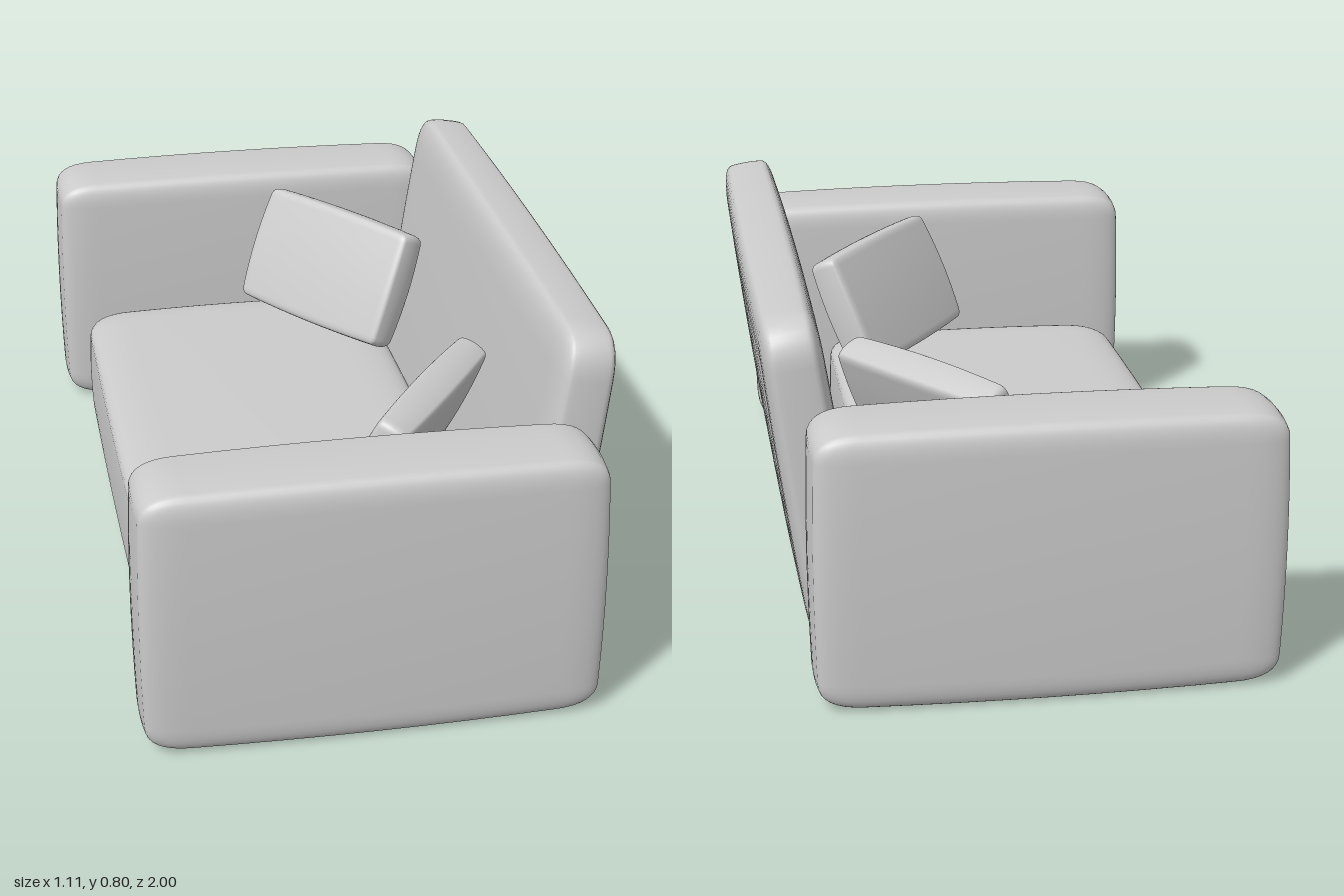
import * as THREE from 'three';
import { mergeVertices } from 'three/addons/utils/BufferGeometryUtils.js';

const material = new THREE.MeshStandardMaterial({ color: 0xcccccc, side: THREE.DoubleSide });
const SEGMENTS = 16;

// Upholstered block: rounded box with its own corner radius on each axis, softly
// bulging sides and, if open, a rectangular opening in the underside.
function softBlock(name, size, radius, bulge, open = false) {
  const box = new THREE.BoxGeometry(2, 2, 2, SEGMENTS, SEGMENTS, SEGMENTS);
  box.deleteAttribute('uv');
  box.deleteAttribute('normal');
  const geometry = mergeVertices(box, 1e-4);
  const pos = geometry.attributes.position;

  if (open) {
    const inHole = (i) => pos.getY(i) < -0.999
      && Math.abs(pos.getX(i)) < 0.51 && Math.abs(pos.getZ(i)) < 0.51;
    const kept = [];
    const index = geometry.index.array;
    for (let i = 0; i < index.length; i += 3) {
      const face = [index[i], index[i + 1], index[i + 2]];
      if (!face.every(inHole)) kept.push(...face);
    }
    geometry.setIndex(kept);
  }

  const half = size.map((s) => s / 2);
  for (let i = 0; i < pos.count; i++) {
    const t = [pos.getX(i), pos.getY(i), pos.getZ(i)];
    // inner half of the grid is flat, outer quarters wrap the corners
    const flat = t.map((v, a) => THREE.MathUtils.clamp(v * 2, -1, 1) * (half[a] - radius[a]));
    const over = t.map((v) => Math.sign(v) * Math.max(0, Math.abs(v) * 2 - 1));
    const norm = Math.pow(over.reduce((sum, v) => sum + Math.abs(v) ** 2.5, 0), 1 / 2.5);
    const longest = Math.max(...over.map(Math.abs));
    const k = norm > 0 ? longest / norm : 0;
    const p = flat.map((v, a) => v + over[a] * k * radius[a]);
    // sides curve inwards away from their middle
    const u = p.map((v, a) => v / half[a]);
    const q = p.map((v, a) => {
      const b = u[(a + 1) % 3] ** 2 + u[(a + 2) % 3] ** 2;
      return v * (1 - (bulge / half[a]) * b / 2);
    });
    pos.setXYZ(i, ...q);
  }
  geometry.computeVertexNormals();
  const mesh = new THREE.Mesh(geometry, material);
  mesh.name = name;
  return mesh;
}

export function createModel() {
  const sofa = new THREE.Group();
  sofa.name = 'sofa';

  // Seat base, hollow underneath
  const seat = softBlock('seat', [0.79, 0.295, 1.5], [0.12, 0.04, 0.12], 0.012, true);
  seat.position.set(-0.115, 0.152, 0);
  sofa.add(seat);

  // Leaning backrest
  const back = softBlock('backrest', [0.152, 0.79, 1.5], [0.03, 0.1, 0.1], 0.012);
  back.position.set(0.43, 0.41, 0);
  back.rotation.z = THREE.MathUtils.degToRad(-8);
  sofa.add(back);

  for (const side of [-1, 1]) {
    // Armrest, hollow underneath
    const arm = softBlock(side > 0 ? 'frontArmrest' : 'rearArmrest',
      [1.025, 0.64, 0.24], [0.1, 0.06, 0.03], 0.014, true);
    arm.position.set(-0.048, 0.32, side * 0.88);
    sofa.add(arm);

    // Loose pillow, turned into the corner and leaning back
    const pillow = softBlock(side > 0 ? 'frontPillow' : 'rearPillow',
      [0.1, 0.315, 0.505], [0.012, 0.02, 0.02], 0.012);
    pillow.position.set(0.129, 0.475, side * 0.484);
    pillow.rotation.set(0, -side * 0.62, THREE.MathUtils.degToRad(-25));
    sofa.add(pillow);
  }
  return sofa;
}
